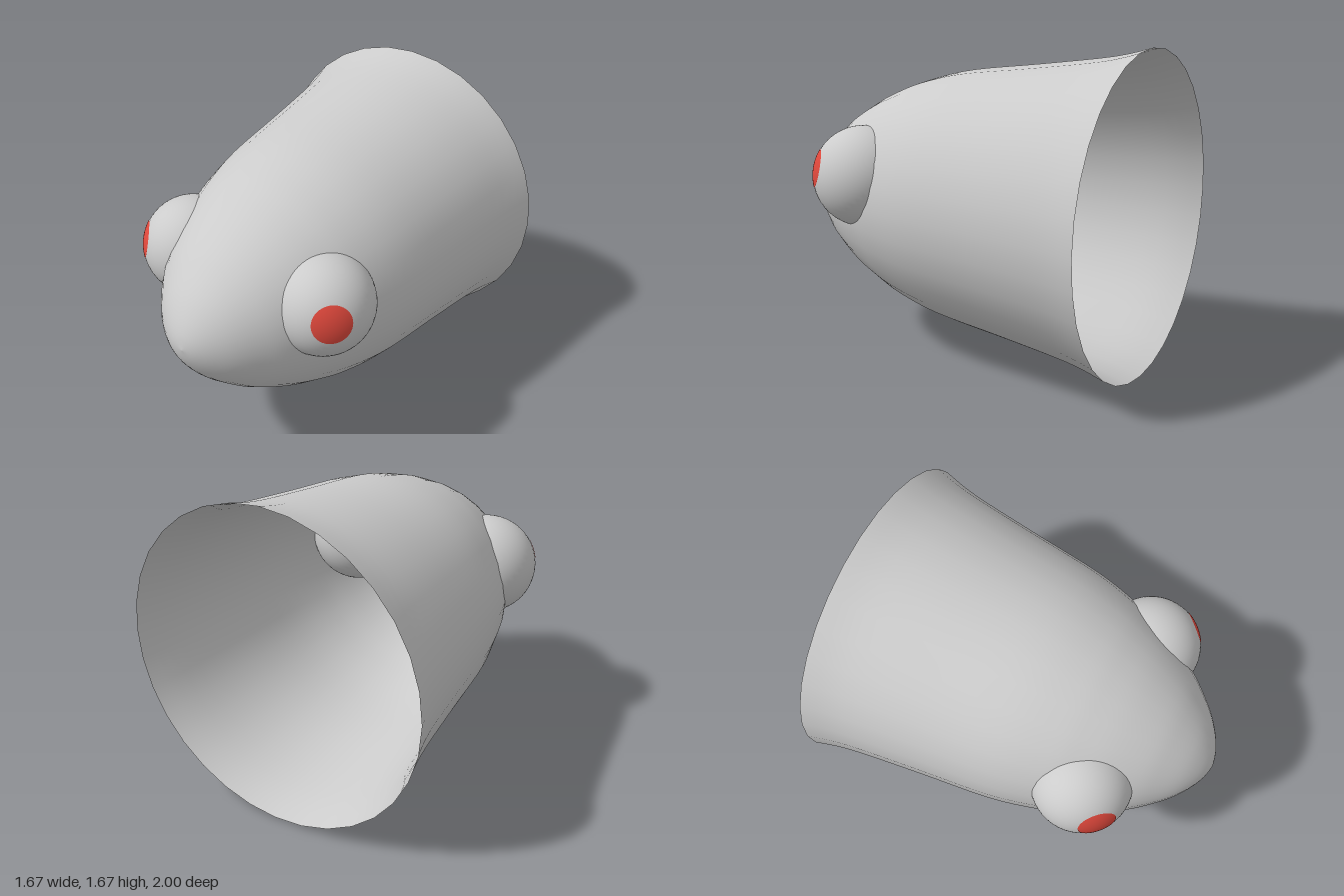
import * as THREE from 'three';

export function createModel() {
  const group = new THREE.Group();
  const grey = new THREE.MeshStandardMaterial({ color: 0xcccccc });
  const shellGrey = new THREE.MeshStandardMaterial({ color: 0xcccccc, side: THREE.DoubleSide });
  const red = new THREE.MeshStandardMaterial({ color: 0xe0483c });

  // Hollow head: radius against z, from the flared open rim to the nose
  const profile = new THREE.SplineCurve([
    [0.835, -1], [0.785, -0.8], [0.73, -0.4], [0.68, 0], [0.62, 0.25], [0.565, 0.4],
    [0.5, 0.54], [0.41, 0.69], [0.33, 0.79], [0.24, 0.882], [0.15, 0.947], [0.07, 0.985], [0, 1],
  ].map(([r, z]) => new THREE.Vector2(r, z)));
  const points = profile.getPoints(48);
  points.forEach((p) => { p.x = Math.max(0, p.x); });
  const head = new THREE.Mesh(new THREE.LatheGeometry(points, 32), shellGrey);
  head.name = 'head';
  head.rotation.x = Math.PI / 2;
  head.position.y = 0.835;
  group.add(head);

  // Eyes: a ball sunk in each side, with a pupil cap facing forward and outward
  const radius = 0.267;
  const up = new THREE.Vector3(0, 1, 0);
  for (const side of [1, -1]) {
    const eye = new THREE.Group();
    eye.name = side > 0 ? 'leftEye' : 'rightEye';
    eye.position.set(side * 0.42, 0.968, 0.428);

    const ball = new THREE.Mesh(new THREE.SphereGeometry(radius, 48, 32), grey);
    ball.name = 'eyeball';

    const pupil = new THREE.Mesh(
      new THREE.SphereGeometry(radius + 0.002, 40, 8, 0, Math.PI * 2, 0, 0.385), red);
    pupil.name = 'pupil';
    const gaze = new THREE.Vector3(side * 0.17, 0.05, 0.165).normalize();
    pupil.quaternion.setFromUnitVectors(up, gaze);

    eye.add(ball, pupil);
    group.add(eye);
  }
  return group;
}
